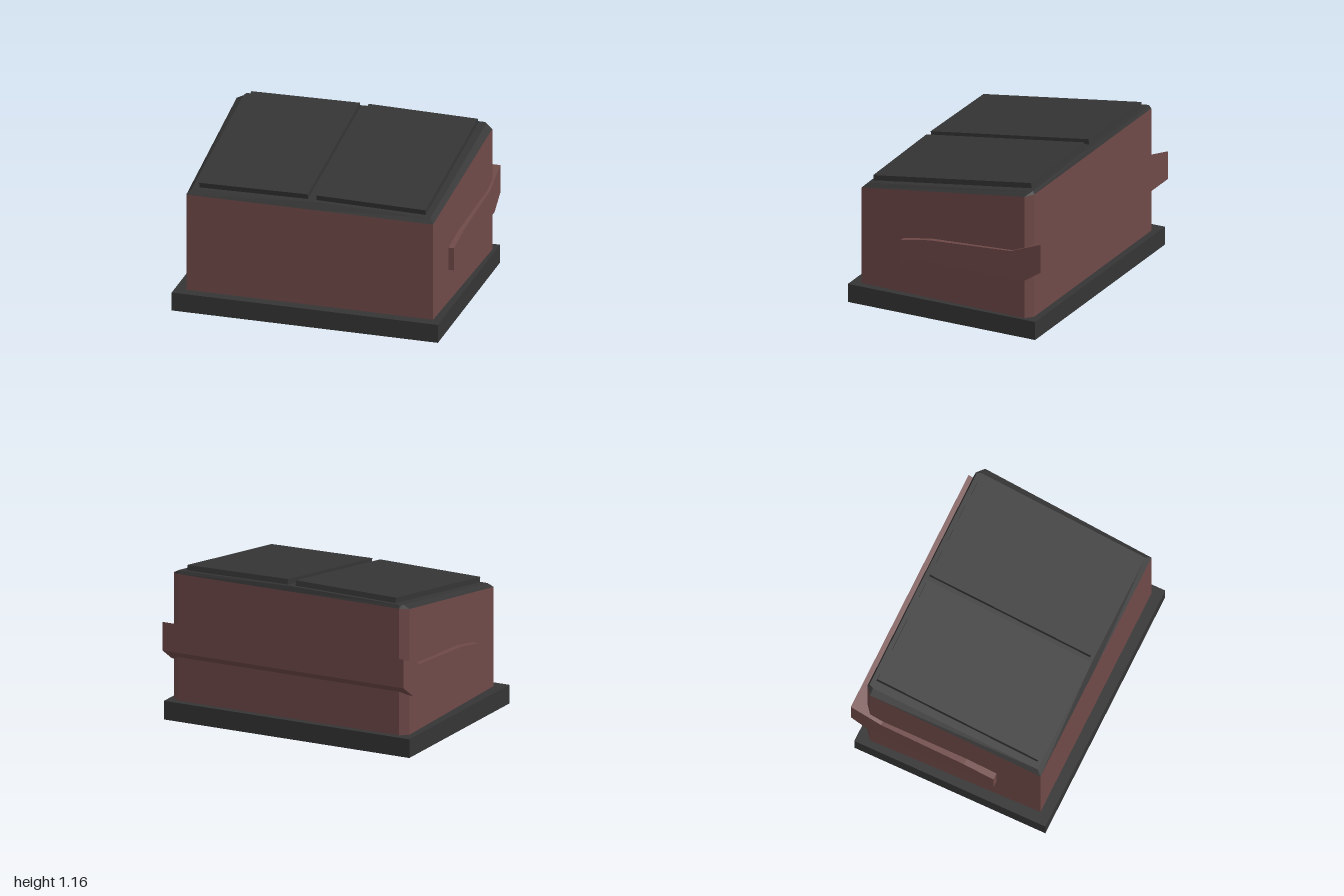
import * as THREE from 'three';

// Skin between two rings (counter-clockwise seen from above), with an optional top and bottom
function loft(lower, upper, capTop, capBottom) {
  const pos = [];
  const n = lower.length;
  const tri = (a, b, c) => pos.push(...a, ...b, ...c);
  for (let i = 0; i < n; i++) {
    const j = (i + 1) % n;
    tri(lower[i], lower[j], upper[j]);
    tri(lower[i], upper[j], upper[i]);
  }
  for (let i = 1; i < n - 1; i++) {
    if (capTop) tri(upper[0], upper[i], upper[i + 1]);
    if (capBottom) tri(lower[0], lower[i + 1], lower[i]);
  }
  const g = new THREE.BufferGeometry();
  g.setAttribute('position', new THREE.Float32BufferAttribute(pos, 3));
  g.computeVertexNormals();
  return g;
}

const CX = 0.0125; // the bin sits slightly off the slab's centre

// Tub outline: straight front, flared sides, chamfered back corners
function ring(half, heightAt) {
  const [[, zf], , , [, zb]] = half;
  const right = half;
  const left = half.map(([x, z]) => [-x, z]).reverse();
  return [[0, zf], ...right.slice(0, 3), [0, zb], ...left.slice(1)]
    .map(([x, z]) => [x + CX, heightAt(x, z), z]);
}

export function createModel() {
  const red = new THREE.MeshStandardMaterial({ color: 0x6f4a48 });
  red.name = 'dull red paint';
  const dark = new THREE.MeshStandardMaterial({ color: 0x353535 });
  dark.name = 'dark grey';

  const group = new THREE.Group();
  const add = (name, geometry, material) => {
    const mesh = new THREE.Mesh(geometry, material);
    mesh.name = name;
    group.add(mesh);
    return mesh;
  };

  // Ground slab
  add('baseSlab', new THREE.BoxGeometry(2, 0.14, 1.52), dark).position.set(0, 0.07, 0.02);

  // Tub with a sloping top edge
  const outer = [[0.927, 0.7], [0.96, -0.64], [0.902, -0.688], [0, -0.688]];
  const inner = [[0.897, 0.665], [0.91, -0.64], [0.897, -0.675], [0, -0.675]];
  const tubTop = (x, z) => 0.989 - 0.149 * z;
  const rimTop = (x, z) => 1.016 - 0.147 * z + 0.014 * (1 - Math.abs(x) / 0.9);
  const topRing = ring(outer, tubTop);
  add('tub', loft(ring(outer, () => 0.13), topRing, false, true), red);

  // Bevelled rim with a slightly ridged cover
  add('rim', loft(topRing, ring(inner, rimTop), true, false), dark);

  // Two hinged lids
  for (const [name, x0, x1] of [['rightLid', -0.835, -0.02], ['leftLid', 0.045, 0.865]]) {
    const corners = (zf, zb, lift) => [[x0, zf], [x1, zf], [x1, zb], [x0, zb]]
      .map(([x, z]) => [x, rimTop(x - CX, z) + lift, z]);
    add(name, loft(corners(0.637, -0.642, 0.002), corners(0.645, -0.635, 0.042), true, true), dark);
  }

  // Lifting collar: side arms that rise into the bar across the back
  const profile = new THREE.Shape([
    [0.355, 0.39], [0.355, 0.563], [0.12, 0.605], [-0.54, 0.65], [-0.64, 0.69],
    [-0.78, 0.745], [-0.78, 0.53], [-0.64, 0.435], [0.12, 0.435],
  ].map(([z, y]) => new THREE.Vector2(-z, y)));
  const collar = new THREE.ExtrudeGeometry(profile, { depth: 1.965, bevelEnabled: false });
  collar.rotateY(Math.PI / 2);
  collar.translate(-0.975, 0, 0);
  add('liftingCollar', collar, red);

  return group;
}
